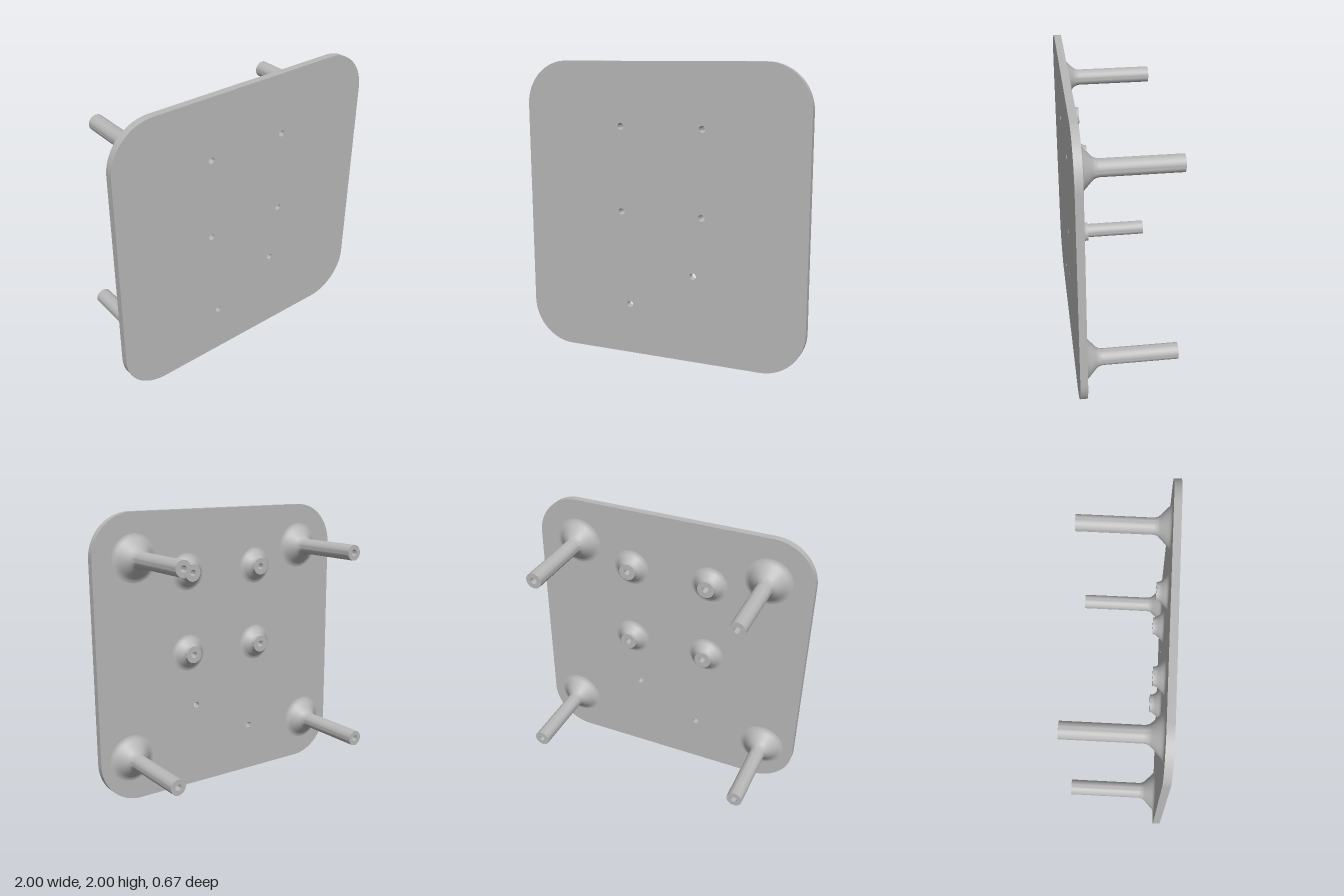
import * as THREE from 'three';
import { toCreasedNormals } from 'three/addons/utils/BufferGeometryUtils.js';

const FRONT = 0.335, BACK = 0.285, HOLE = 0.022;
const bossSpots = [[-0.29, 1.573], [0.29, 1.573], [-0.29, 0.996], [0.29, 0.996]];
const plainHoles = [[0.23, 0.597], [-0.235, 0.35]];
const postSpots = [[-0.695, 1.695], [0.695, 1.695], [-0.765, 0.31], [0.765, 0.31]];

// Flared foot: a fillet off the plate, a slope, then a fillet into the shaft
function footProfile(a, b, c, d) {
  const v = ([x, y]) => new THREE.Vector2(x, y);
  const lower = new THREE.QuadraticBezierCurve(v(a[0]), v(a[1]), v(a[2])).getPoints(6);
  const upper = new THREE.QuadraticBezierCurve(v(b), v(c), v(d)).getPoints(6);
  return [...lower, ...upper];
}

// Revolve a profile and point its axis backwards from the plate
function turned(points) {
  const geo = new THREE.LatheGeometry(points, 40).rotateX(-Math.PI / 2);
  return toCreasedNormals(geo, 0.6);
}

function plateGeometry() {
  const r = 0.3, s = new THREE.Shape();
  s.moveTo(-1 + r, 0);
  s.lineTo(1 - r, 0);
  s.absarc(1 - r, r, r, -Math.PI / 2, 0);
  s.lineTo(1, 2 - r);
  s.absarc(1 - r, 2 - r, r, 0, Math.PI / 2);
  s.lineTo(-1 + r, 2);
  s.absarc(-1 + r, 2 - r, r, Math.PI / 2, Math.PI);
  s.lineTo(-1, r);
  s.absarc(-1 + r, r, r, Math.PI, Math.PI * 1.5);
  for (const [x, y] of [...bossSpots, ...plainHoles]) {
    const hole = new THREE.Path();
    hole.absarc(x, y, HOLE, 0, Math.PI * 2, true);
    s.holes.push(hole);
  }
  const geo = new THREE.ExtrudeGeometry(s, { depth: FRONT - BACK, bevelEnabled: false, curveSegments: 24 });
  return toCreasedNormals(geo, 0.6);
}

export function createModel() {
  const model = new THREE.Group();
  const grey = new THREE.MeshStandardMaterial({ color: 0xb8b8b8 });
  grey.name = 'plain grey';

  const add = (name, geo, x, y, z) => {
    const mesh = new THREE.Mesh(geo, grey);
    mesh.name = name;
    mesh.position.set(x, y, z);
    model.add(mesh);
  };

  // Rounded plate with six through holes
  add('plate', plateGeometry(), 0, 0, BACK);

  // Long corner posts with a blind hole in each end
  const tip = 0.62, floor = 0.3;
  const post = turned([
    ...footProfile([[0.165, 0], [0.143, 0.003], [0.125, 0.022]], [0.075, 0.07], [0.057, 0.088], [0.055, 0.115]),
    new THREE.Vector2(0.055, tip), new THREE.Vector2(HOLE, tip),
    new THREE.Vector2(HOLE, floor), new THREE.Vector2(0, floor),
  ]);
  postSpots.forEach(([x, y]) => add('cornerPost', post, x, y, BACK));

  // Short bosses around the upper four holes
  const boss = turned([
    ...footProfile([[0.13, 0], [0.11, 0.003], [0.097, 0.018]], [0.078, 0.037], [0.061, 0.054], [0.06, 0.072]),
    new THREE.Vector2(0.06, 0.077), new THREE.Vector2(HOLE, 0.077), new THREE.Vector2(HOLE, 0),
  ]);
  bossSpots.forEach(([x, y]) => add('mountingBoss', boss, x, y, BACK));

  return model;
}
